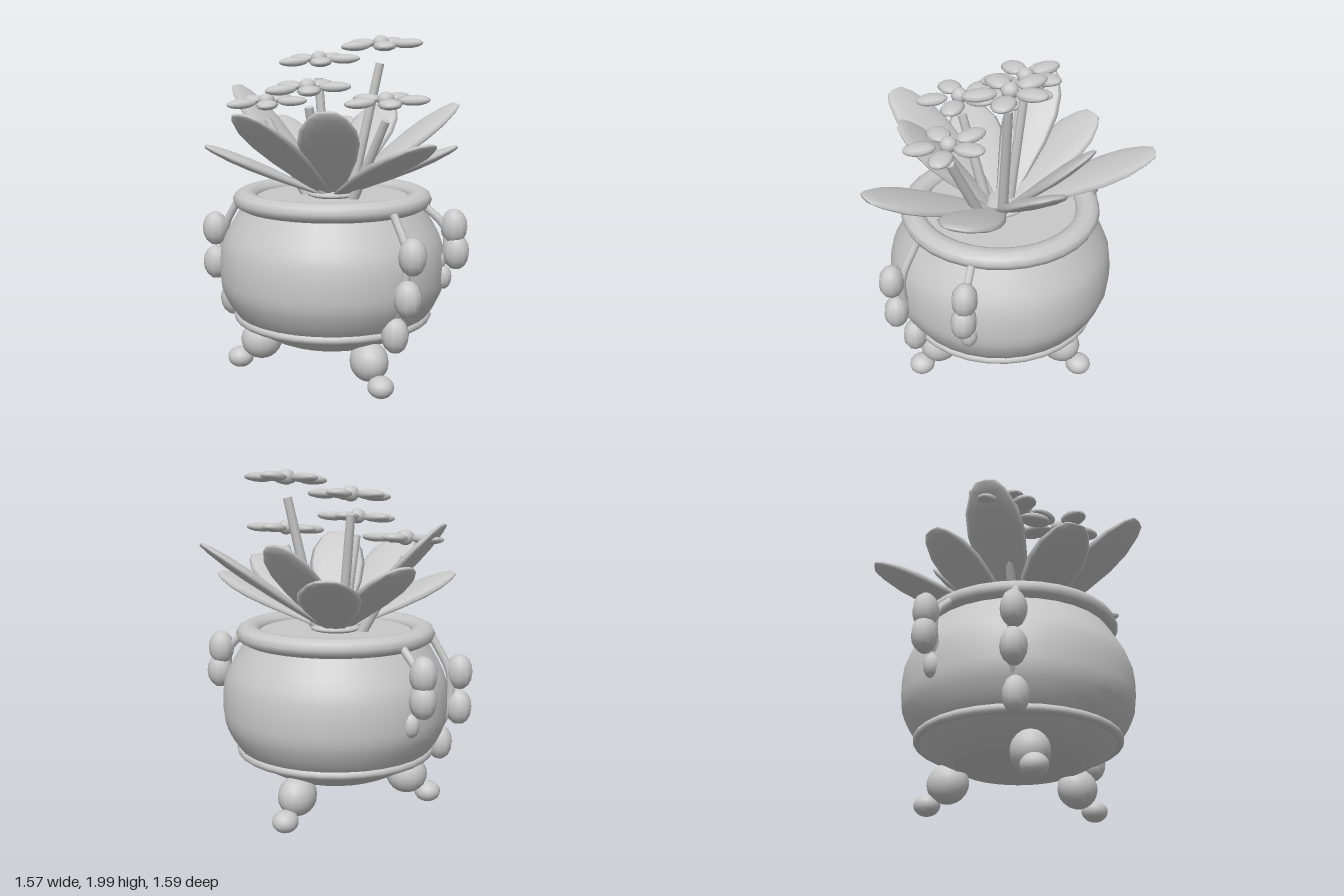
import * as THREE from 'three';

const V = (x, y, z) => new THREE.Vector3(x, y, z);
const CX = -0.03; // axis of the pot

export function createModel() {
  const model = new THREE.Group();
  model.name = 'pottedPlant';
  const clay = new THREE.MeshStandardMaterial({ color: 0xc8c8c8 });
  clay.name = 'plain grey';

  const add = (name, geometry, parent = model) => {
    const mesh = new THREE.Mesh(geometry, clay);
    mesh.name = name;
    parent.add(mesh);
    return mesh;
  };
  const group = (name, x = 0, y = 0, z = 0, parent = model) => {
    const g = new THREE.Group();
    g.name = name;
    g.position.set(x, y, z);
    parent.add(g);
    return g;
  };
  const ball = new THREE.SphereGeometry(1, 16, 12);
  const lowBall = new THREE.SphereGeometry(1, 10, 8);
  const blob = (name, geo, pos, size, parent) => {
    const mesh = add(name, geo, parent);
    mesh.position.set(...pos);
    mesh.scale.set(...size);
    return mesh;
  };

  // Pot: round belly, flat bottom, rolled rim, lower band and soil
  const pot = group('pot', CX);
  const wall = new THREE.SplineCurve([
    [0.355, 0.225], [0.46, 0.28], [0.575, 0.38], [0.645, 0.5], [0.667, 0.6],
    [0.658, 0.77], [0.605, 0.89], [0.52, 1.03],
  ].map(([r, y]) => new THREE.Vector2(r, y)));
  add('belly', new THREE.LatheGeometry(wall.getPoints(14), 32), pot);
  const base = add('bottom', new THREE.CircleGeometry(0.355, 32), pot);
  base.rotation.x = Math.PI / 2;
  base.position.y = 0.225;
  const ring = (name, radius, y, across, tall) => {
    const geo = new THREE.TorusGeometry(radius, across, 10, 32);
    geo.rotateX(Math.PI / 2).scale(1, tall / across, 1);
    add(name, geo, pot).position.y = y;
  };
  ring('rim', 0.513, 1.055, 0.072, 0.055);
  ring('band', 0.563, 0.362, 0.027, 0.027);
  const soil = add('soil', new THREE.CircleGeometry(0.5, 32), pot);
  soil.rotation.x = -Math.PI / 2;
  soil.position.y = 1.065;
  blob('crown', ball, [0, 1.08, 0], [0.15, 0.03, 0.15], pot);

  // Three feet, each with a small toe pointing outwards
  for (const angle of [30, 150, 270]) {
    const foot = group('foot', CX);
    foot.rotation.y = -angle * Math.PI / 180;
    blob('heel', ball, [0.432, 0.177, 0], [0.124, 0.116, 0.107], foot);
    blob('toe', ball, [0.56, 0.066, 0], [0.078, 0.063, 0.074], foot);
  }

  // Trailing vines: a curved stem with beads
  const vines = [
    { top: [0.5, 1.04, 0.235], beads: [[0.655, 0.84, 0.31], [0.63, 0.605, 0.31], [0.53, 0.375, 0.26]] },
    { top: [0.5, 1.04, -0.13], beads: [[0.67, 0.92, -0.185], [0.685, 0.775, -0.185], [0.61, 0.62, -0.17]], short: true },
    { top: [-0.56, 1.04, 0.2], beads: [[-0.714, 0.84, 0.25], [-0.714, 0.63, 0.25], [-0.61, 0.41, 0.22]] },
    { top: [-0.56, 1.04, -0.19], beads: [[-0.714, 0.92, -0.255], [-0.714, 0.78, -0.255], [-0.635, 0.63, -0.24]], short: true },
  ];
  for (const { top, beads, short } of vines) {
    const vine = group('vine');
    // stem runs just inside the beads
    const path = beads.map(([x, y, z]) => V(x - Math.sign(x) * 0.05, y, z * 0.88));
    const curve = new THREE.CatmullRomCurve3([V(...top), ...path]);
    add('vineStem', new THREE.TubeGeometry(curve, 12, 0.024, 8), vine);
    beads.forEach((p, i) => {
      const s = short && i === 2 ? 0.7 : 1;
      blob('bead', lowBall, p, [0.08 * s, 0.104 * s, 0.071 * s], vine);
    });
  }

  // Leaves: flattened blades rising from the crown to each tip
  const bladeShape = [[0, 0], [0.055, 0.02], [0.1, 0.22], [0.15, 0.45], [0.17, 0.65],
    [0.155, 0.8], [0.105, 0.93], [0.06, 0.99], [0, 1]].map(([r, t]) => new THREE.Vector2(r, t));
  const blade = new THREE.LatheGeometry(bladeShape, 12);
  const tips = [
    [-0.42, 1.46, -0.78], [0.49, 1.59, -0.59], [0.01, 1.6, -0.58], [-0.62, 1.49, -0.3],
    [-0.68, 1.7, 0.06], [-0.54, 1.38, 0.54], [-0.11, 1.59, 0.785], [0.24, 1.6, 0.5],
    [0.76, 1.44, 0.36], [0.69, 1.38, -0.15],
  ];
  for (const [x, y, z] of tips) {
    const out = V(x - CX, 0, z).normalize();
    const root = V(CX, 1.07, 0).addScaledVector(out, 0.05);
    const dir = V(x, y, z).sub(root);
    const length = dir.length();
    dir.normalize();
    const side = V(out.z, 0, -out.x);
    const face = side.clone().cross(dir);
    const leaf = add('leaf', blade);
    leaf.quaternion.setFromRotationMatrix(new THREE.Matrix4().makeBasis(side, dir, face));
    leaf.position.copy(root);
    leaf.scale.set(1, length, 0.2);
  }

  // Flowers: five petals and a button above a leaning stem
  const petalGeo = new THREE.SphereGeometry(1, 10, 8).rotateX(Math.PI / 2);
  const flowers = [
    [0.187, 1.945, -0.183], [-0.17, 1.855, -0.077], [-0.03, 1.71, 0.264],
    [0.366, 1.64, 0.085], [-0.426, 1.61, 0.1],
  ];
  for (const [x, y, z] of flowers) {
    const foot = V(CX + (x - CX) * 0.4, 1.06, z * 0.35);
    const head = V(x, y - 0.11, z * 0.95);
    const stem = add('flowerStem', new THREE.CylinderGeometry(0.026, 0.032, foot.distanceTo(head), 8));
    stem.position.copy(foot).add(head).multiplyScalar(0.5);
    stem.quaternion.setFromUnitVectors(V(0, 1, 0), head.clone().sub(foot).normalize());

    const flower = group('flower', x, y, z);
    flower.rotation.x = 0.09;
    blob('button', lowBall, [0, 0.006, 0], [0.049, 0.045, 0.049], flower);
    for (let i = 0; i < 5; i++) {
      const arm = group('petalArm', 0, 0, 0, flower);
      arm.rotation.y = i * Math.PI * 0.4;
      blob('petal', petalGeo, [0, 0, i === 0 ? -0.13 : -0.157], [0.067, 0.028, 0.09], arm);
    }
  }
  return model;
}
